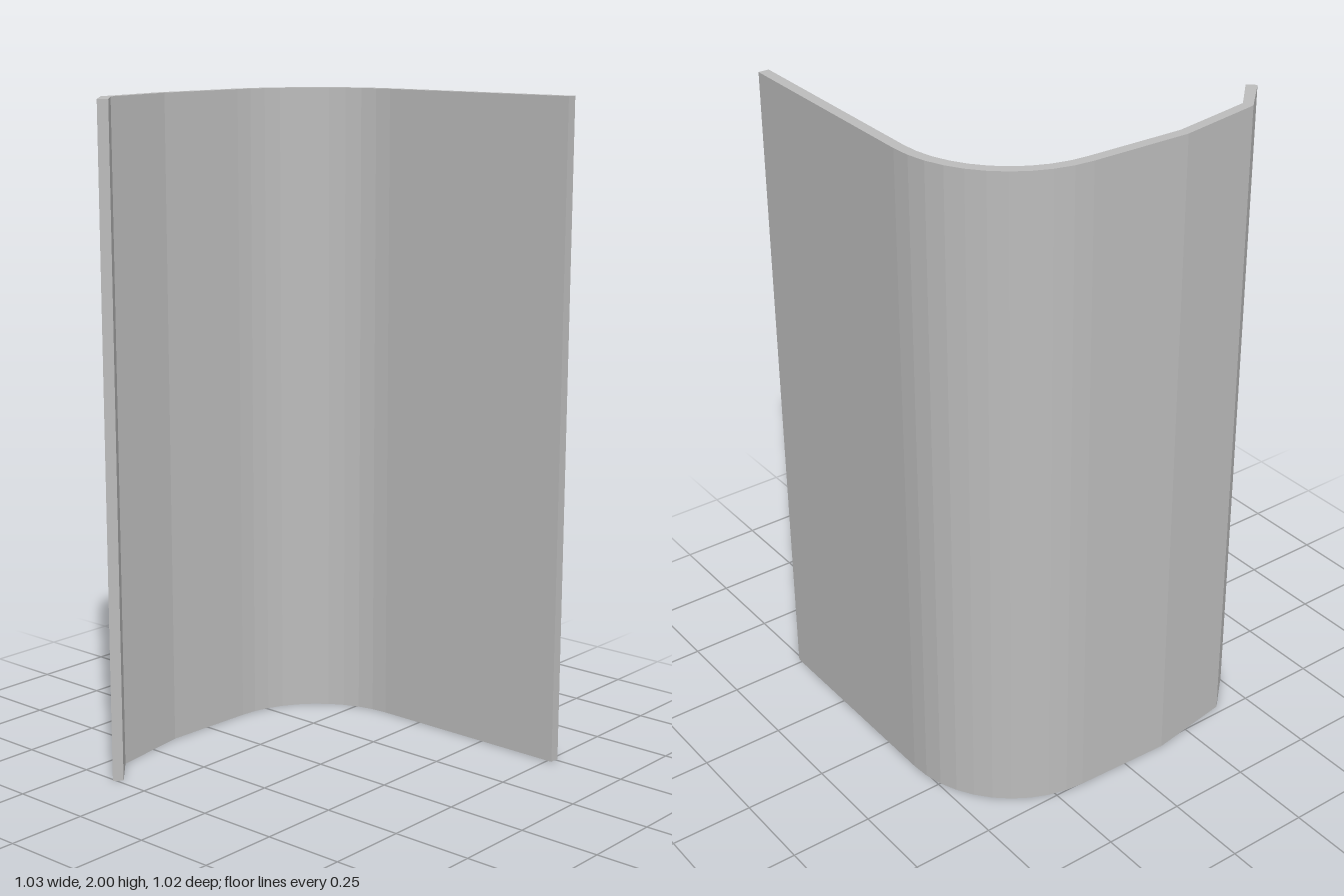
import * as THREE from 'three';

const HEIGHT = 2;

// Points along the rounded corner, from the back wall round to the side wall
function cornerArc(radius, segments = 10) {
  const points = [];
  for (let i = 0; i <= segments; i++) {
    const a = Math.PI / 2 + (i / segments) * THREE.MathUtils.degToRad(88);
    points.push(new THREE.Vector2(-0.14 + radius * Math.cos(a), 0.145 + radius * Math.sin(a)));
  }
  return points;
}

export function createModel() {
  const model = new THREE.Group();
  const grey = new THREE.MeshStandardMaterial({ color: 0xbcbcbc });
  grey.name = 'plain grey';

  // Plan outline (x, -z): along the outer face, then back along the inner face
  const outer = [
    new THREE.Vector2(0.515, 0.51),
    ...cornerArc(0.365),
    new THREE.Vector2(-0.516, -0.14),
    new THREE.Vector2(-0.476, -0.4),
    new THREE.Vector2(-0.375, -0.508),
  ];
  const inner = [
    new THREE.Vector2(0.515, 0.478),
    ...cornerArc(0.333),
    new THREE.Vector2(-0.485, -0.14),
    new THREE.Vector2(-0.447, -0.389),
    new THREE.Vector2(-0.353, -0.485),
  ];
  const outline = new THREE.Shape([...outer, ...inner.reverse()]);

  // Bent sheet, pulled straight up from the ground
  const geometry = new THREE.ExtrudeGeometry(outline, { depth: HEIGHT, bevelEnabled: false });
  geometry.rotateX(-Math.PI / 2);

  const panel = new THREE.Mesh(geometry, grey);
  panel.name = 'bentPanel';
  model.add(panel);
  return model;
}
